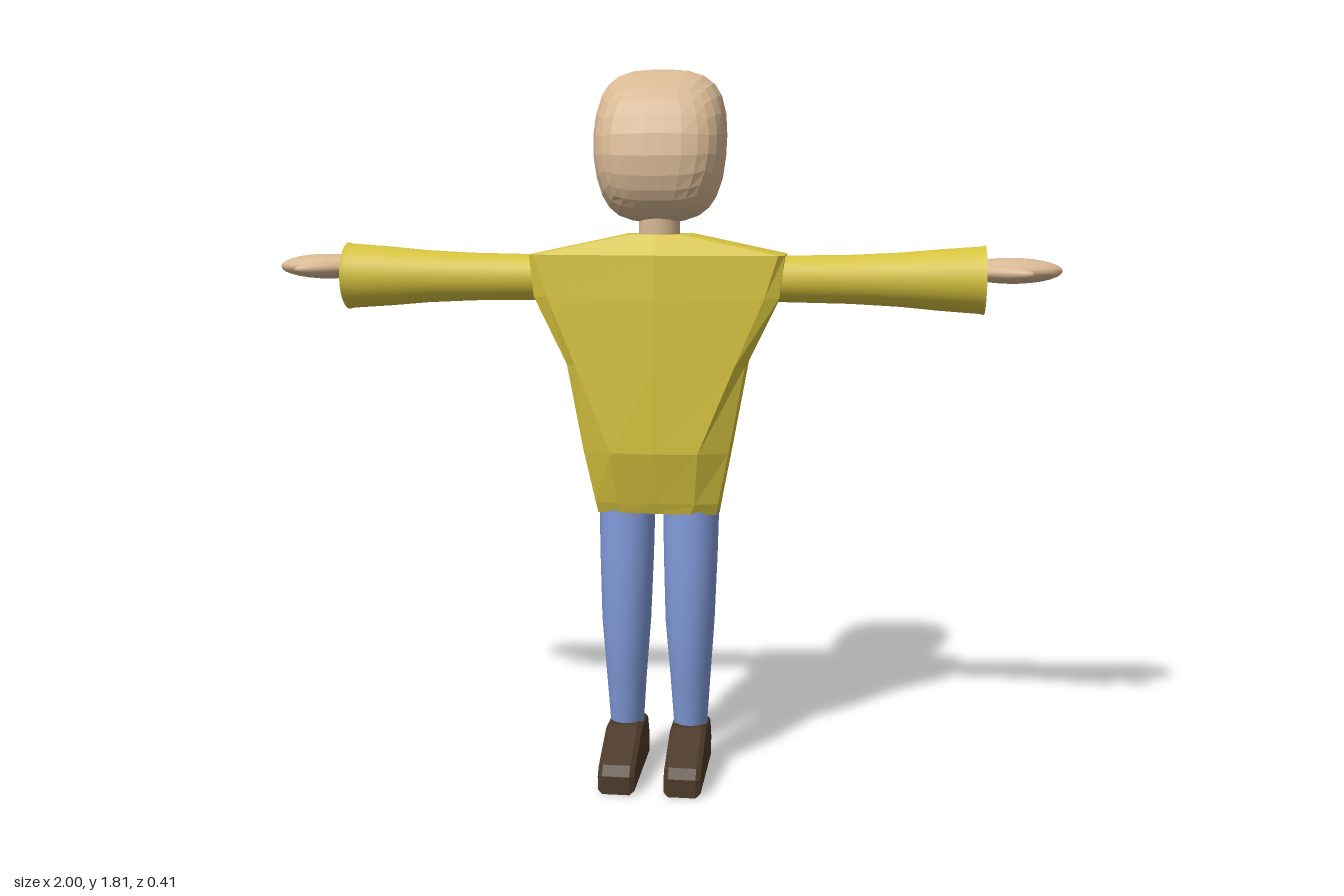
import * as THREE from 'three';

const SKIN = 0xd8b894, SHIRT = 0xd6c23e, JEANS = 0x7f98d6, LEATHER = 0x4c3a29;

function part(name, geometry, color, options = {}) {
  const mesh = new THREE.Mesh(geometry, new THREE.MeshStandardMaterial({ color, ...options }));
  mesh.name = name;
  return mesh;
}

// Joins equal-length closed rings of [x, y, z], listed from the bottom up
function loft(rings) {
  const n = rings[0].length, index = [];
  for (let i = 0; i < rings.length - 1; i++) {
    for (let j = 0; j < n; j++) {
      const a = i * n + j, b = i * n + (j + 1) % n;
      index.push(a, b, b + n, a, b + n, a + n);
    }
  }
  const g = new THREE.BufferGeometry();
  g.setAttribute('position', new THREE.Float32BufferAttribute(rings.flat(2), 3));
  g.setIndex(index);
  g.computeVertexNormals();
  return g;
}

// Rounded-cube head: flat across x, oval in profile, leaning back at the top
function headGeometry() {
  const g = new THREE.BoxGeometry(2, 2, 2, 7, 7, 7);
  const p = g.attributes.position, v = new THREE.Vector3();
  for (let i = 0; i < p.count; i++) {
    v.fromBufferAttribute(p, i);
    const r = Math.pow(Math.abs(v.x) ** 3.2 + Math.hypot(v.y, v.z) ** 3.2, 1 / 3.2);
    v.divideScalar(r);
    const jaw = v.y < 0 ? 1 + 0.08 * v.y : 1;
    p.setXYZ(i, v.x * 0.166 * jaw, 1.624 + v.y * 0.191, -0.045 + v.z * 0.155 - v.y * 0.035);
  }
  g.computeVertexNormals();
  return g;
}

// Ten-sided torso ring: side half width, front/back corner half widths, depths
function torsoRing([y, side, corner, front, frontCorner, sideFront, sideBack, backCorner, back, tilt = 0]) {
  const half = [[corner, frontCorner], [side, sideFront], [side, sideBack], [corner, backCorner]];
  const outline = [[0, front], ...half, [0, back], ...half.map(([x, z]) => [-x, z]).reverse()];
  return outline.map(([x, z]) => [x, y + z * tilt, z]);
}

function torsoGeometry() {
  const rings = [
    [0.69, 0.152, 0.09, 0.06, 0.06, 0.035, -0.075, -0.095, -0.098, 0.15],
    [0.72, 0.157, 0.10, 0.07, 0.068, 0.045, -0.085, -0.112, -0.115, 0.1],
    [0.86, 0.185, 0.11, 0.105, 0.1, 0.06, -0.085, -0.112, -0.116],
    [1.08, 0.225, 0.20, 0.104, 0.09, 0.066, -0.082, -0.103, -0.114],
    [1.25, 0.308, 0.272, 0.102, 0.083, 0.066, -0.082, -0.097, -0.112],
    [1.355, 0.32, 0.305, 0.098, 0.077, 0.063, -0.08, -0.092, -0.108],
    [1.405, 0.085, 0.065, 0.06, 0.058, 0.035, -0.065, -0.088, -0.09],
  ].map(torsoRing);
  // Close both ends with a fan to the middle
  const cap = y => rings[0].map(() => [0, y, -0.02]);
  return loft([cap(0.685), ...rings, cap(1.405)]);
}

// Leg: oval rings given as y, centre x, centre z, x radius, z radius
function legGeometry(s) {
  const rings = [
    [0.1, 0.084, -0.012, 0.042, 0.047],
    [0.25, 0.084, -0.004, 0.052, 0.06],
    [0.41, 0.083, 0.003, 0.064, 0.073],
    [0.58, 0.083, -0.008, 0.07, 0.075],
    [0.76, 0.083, -0.018, 0.074, 0.076],
  ];
  return loft(rings.map(([y, cx, cz, rx, rz]) => Array.from({ length: 24 }, (_, k) => {
    const a = k / 24 * Math.PI * 2;
    return [s * cx + rx * Math.sin(a), y, cz + rz * Math.cos(a)];
  })));
}

// Shoe: side profile (z, y) extruded across the foot with a small chamfer
function shoeGeometry(s) {
  const profile = [[0.195, 0.01], [0.195, 0.045], [0.18, 0.065], [0.055, 0.123],
    [-0.055, 0.123], [-0.072, 0.11], [-0.097, 0.06], [-0.097, 0.01]];
  const shape = new THREE.Shape(profile.map(([z, y]) => new THREE.Vector2(-z, y)));
  const g = new THREE.ExtrudeGeometry(shape, {
    depth: 0.07, bevelEnabled: true, bevelThickness: 0.012, bevelSize: 0.009, bevelSegments: 1,
  });
  g.translate(0, 0, -0.035);
  g.rotateY(Math.PI / 2);
  g.translate(s * 0.084, 0, 0);
  return g;
}

// Open sleeve widening to the cuff; the profile is radius, distance from centre
function sleeveGeometry(s) {
  const profile = [[0.058, 0.29], [0.059, 0.36], [0.061, 0.48], [0.067, 0.6], [0.076, 0.7],
    [0.081, 0.77], [0.083, 0.8], [0.086, 0.81]];
  const g = new THREE.LatheGeometry(profile.map(([r, d]) => new THREE.Vector2(r, d)), 28);
  g.rotateZ(-s * Math.PI / 2);
  g.translate(0, 1.294, -0.012);
  return g;
}

function ellipsoid(rx, ry, rz) {
  return new THREE.SphereGeometry(1, 20, 14).scale(rx, ry, rz);
}

export function createModel() {
  const model = new THREE.Group();
  model.name = 'figure';

  model.add(part('head', headGeometry(), SKIN, { flatShading: true }));
  const neck = part('neck', new THREE.CylinderGeometry(0.052, 0.052, 0.12, 20), SKIN);
  neck.position.set(0, 1.42, -0.015);
  model.add(neck);
  model.add(part('torso', torsoGeometry(), SHIRT, { flatShading: true }));

  for (const [s, label] of [[1, 'left'], [-1, 'right']]) {
    const arm = new THREE.Group();
    arm.name = label + 'Arm';
    arm.add(part('sleeve', sleeveGeometry(s), SHIRT, { side: THREE.DoubleSide }));
    const hand = part('hand', ellipsoid(0.125, 0.032, 0.071), SKIN);
    hand.position.set(s * 0.875, 1.317, -0.034);
    const thumb = part('thumb', ellipsoid(0.08, 0.018, 0.024), SKIN);
    thumb.position.set(s * 0.85, 1.315, 0.056);
    thumb.rotation.y = -s * 0.55;
    arm.add(hand, thumb);

    const leg = new THREE.Group();
    leg.name = label + 'Leg';
    leg.add(part('trouserLeg', legGeometry(s), JEANS, { side: THREE.DoubleSide }));
    leg.add(part('shoe', shoeGeometry(s), LEATHER, { flatShading: true }));
    model.add(arm, leg);
  }
  return model;
}
